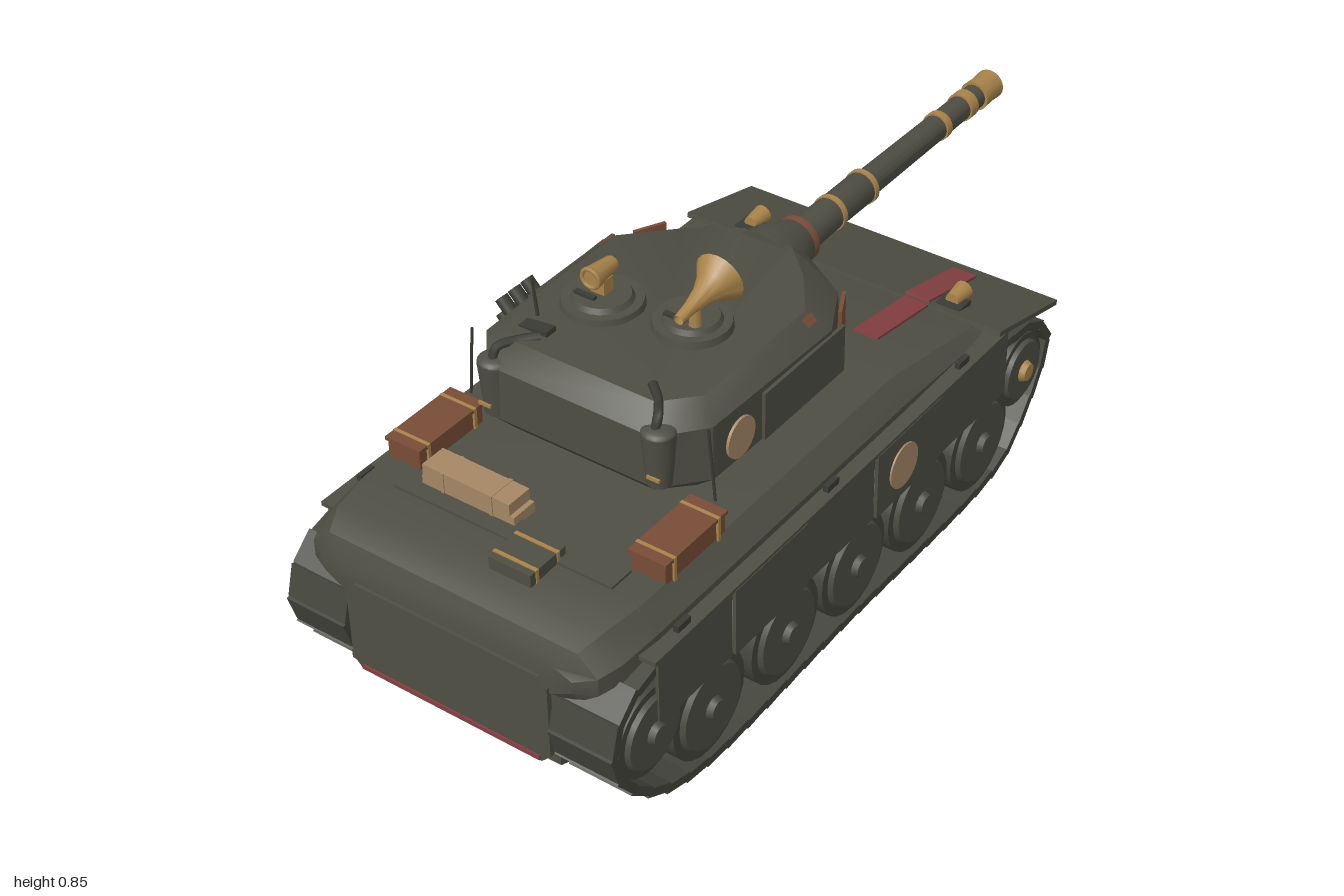
import * as THREE from 'three';
import { toCreasedNormals } from 'three/addons/utils/BufferGeometryUtils.js';

const mat = (name, color, extra = {}) => new THREE.MeshStandardMaterial({ name, color, ...extra });
const M = {
  body: mat('olive armour', 0x4e4e44),
  track: mat('track steel', 0x44453c),
  dark: mat('dark metal', 0x3a3b34),
  brass: mat('brass', 0xa9834a, { side: THREE.DoubleSide }),
  rust: mat('rust brown', 0x784c37),
  tan: mat('tan canvas', 0xa58765),
  red: mat('faded red', 0x843f42),
};

export function createModel() {
  const root = new THREE.Group();
  root.name = 'tank';

  const add = (name, geo, m, pos = [0, 0, 0], rot = [0, 0, 0], parent = root) => {
    const mesh = new THREE.Mesh(geo, m);
    mesh.name = name;
    mesh.position.set(...pos);
    mesh.rotation.set(...rot);
    parent.add(mesh);
    return mesh;
  };
  const box = (name, size, m, pos, rot, parent) => add(name, new THREE.BoxGeometry(...size), m, pos, rot, parent);
  const cyl = (name, r1, r2, h, m, pos, rot, seg = 20, parent = root) =>
    add(name, new THREE.CylinderGeometry(r1, r2, h, seg), m, pos, rot, parent);
  const tube = (name, pts, r, m) => add(name, new THREE.TubeGeometry(
    new THREE.CatmullRomCurve3(pts.map(p => new THREE.Vector3(...p))), 10, r, 7), m);
  // Profile of [radius, distance] spun around an axis pointing to -z
  const spin = (name, pts, m, pos, seg = 20) => add(name, toCreasedNormals(
    new THREE.LatheGeometry(pts.map(p => new THREE.Vector2(...p)), seg), 0.6), m, pos, [-Math.PI / 2, 0, 0]);

  // Skin over matching convex cross-sections, closed at both ends
  const loft = (sections, crease = 0.5) => {
    const v = [], n = sections[0].length;
    const tri = (a, b, c) => v.push(...a, ...b, ...c);
    for (let j = 0; j < sections.length - 1; j++) for (let i = 0; i < n; i++) {
      const k = (i + 1) % n, A = sections[j], B = sections[j + 1];
      tri(A[i], A[k], B[k]);
      tri(A[i], B[k], B[i]);
    }
    const S = sections[0], E = sections[sections.length - 1];
    for (let i = 1; i < n - 1; i++) {
      tri(S[0], S[i + 1], S[i]);
      tri(E[0], E[i], E[i + 1]);
    }
    const g = new THREE.BufferGeometry();
    g.setAttribute('position', new THREE.Float32BufferAttribute(v, 3));
    return toCreasedNormals(g, crease);
  };

  // Lower hull between the tracks
  const side = new THREE.Shape([[0.95, 0.39], [-0.59, 0.35], [-0.615, 0.31], [-0.6, 0.22], [-0.42, 0.095],
    [0.83, 0.095], [0.965, 0.15], [0.965, 0.37]].map(p => new THREE.Vector2(...p)));
  const lower = new THREE.ExtrudeGeometry(side, { depth: 0.52, bevelEnabled: false });
  lower.rotateY(-Math.PI / 2).translate(0.26, 0, 0);
  add('lowerHull', lower, M.body);

  // Upper hull: z, top half width, side half width, top, shoulder and bottom heights
  add('upperHull', loft([
    [-0.6, 0.34, 0.36, 0.365, 0.355, 0.345],
    [-0.37, 0.345, 0.37, 0.42, 0.4, 0.37],
    [-0.05, 0.335, 0.375, 0.468, 0.42, 0.36],
    [0.8, 0.335, 0.375, 0.468, 0.42, 0.34],
    [0.9, 0.32, 0.365, 0.462, 0.41, 0.325],
    [0.95, 0.3, 0.345, 0.44, 0.4, 0.32],
    [0.97, 0.26, 0.3, 0.4, 0.385, 0.33],
  ].map(([z, t, w, yt, ym, yb]) => [[w - 0.05, yb, z], [w, yb + 0.04 * (ym - yb) / 0.08, z], [w, ym, z], [t, yt, z],
    [-t, yt, z], [-w, ym, z], [-w, yb + 0.04 * (ym - yb) / 0.08, z], [-w + 0.05, yb, z]])), M.body);

  // Rear octagonal plate
  const octagon = (w, y0, y1, c) => new THREE.Shape([[w - c, y0], [w, y0 + c], [w, y1 - c], [w - c, y1], [c - w, y1],
    [-w, y1 - c], [-w, y0 + c], [c - w, y0]].map(p => new THREE.Vector2(...p)));
  add('rearPlate', new THREE.ExtrudeGeometry(octagon(0.245, 0.15, 0.365, 0.022),
    { depth: 0.015, bevelEnabled: false }), M.body, [0, 0, 0.962]);
  box('engineDeckPlate', [0.53, 0.008, 0.06], M.body, [0, 0.47, 0.77]);
  box('frontFenderPlate', [0.82, 0.012, 0.26], M.body, [0, 0.392, -0.495], [-0.235, 0, 0]);

  // Track path as [z, y]
  const loop = new THREE.CatmullRomCurve3([[0.72, 0.017], [0.2, 0.015], [-0.38, 0.017], [-0.47, 0.05], [-0.59, 0.19],
    [-0.61, 0.27], [-0.55, 0.335], [-0.4, 0.36], [0.2, 0.37], [0.82, 0.375], [0.93, 0.34], [0.972, 0.26],
    [0.955, 0.18], [0.86, 0.075]].map(([z, y]) => new THREE.Vector3(0, y, z)), true, 'centripetal');
  const LINKS = 52, pitch = loop.getLength() / LINKS;

  for (const s of [1, -1]) {
    const tag = s > 0 ? 'left' : 'right';
    const track = new THREE.Group();
    track.name = tag + 'Track';
    root.add(track);
    for (let i = 0; i < LINKS; i++) {
      const p = loop.getPointAt(i / LINKS), t = loop.getTangentAt(i / LINKS);
      box('trackLink', [0.148, 0.02, pitch * 1.06], M.track, [s * 0.325, p.y, p.z],
        [Math.atan2(-t.y, t.z) + 0.07, 0, 0], track);
    }
    // Road wheels, then rear and front end wheels
    const wheels = [0.67, 0.41, 0.16, -0.09, -0.34].map(z => [z, 0.145, 0.118, M.body]);
    wheels.push([0.855, 0.225, 0.1, M.body], [-0.51, 0.238, 0.088, M.brass]);
    for (const [z, y, r, hub] of wheels) {
      const lay = [0, 0, -s * Math.PI / 2];
      cyl('wheelTyre', r, r, 0.13, M.track, [s * 0.325, y, z], lay, 24, track);
      cyl('wheelDisc', r * 0.78, r * 0.84, 0.012, M.body, [s * 0.394, y, z], lay, 24, track);
      cyl('wheelHub', 0.02, 0.028, 0.018, hub, [s * 0.404, y, z], lay, 12, track);
    }
    // Skirt panels over the track
    const cuts = [0.85, 0.61, 0.36, 0.11, -0.14, -0.42];
    for (let i = 0; i < 5; i++) {
      const a = cuts[i], b = cuts[i + 1];
      box('skirtPanel', [0.008, 0.16, a - b - 0.006], M.body,
        [s * (0.4 + (i % 2) * 0.005), 0.318, (a + b) / 2], [0, 0, 0]);
    }
    box('fenderShelf', [0.055, 0.01, 1.27], M.body, [s * 0.38, 0.4, 0.225]);
    for (const z of [0.75, 0.25, -0.25]) box('shelfBlock', [0.012, 0.016, 0.04], M.dark, [s * 0.388, 0.412, z]);
    cyl('skirtDisc', 0.052, 0.052, 0.006, M.tan, [s * 0.41, 0.315, 0.01], [0, 0, Math.PI / 2], 24);

    // Glacis stripes, lamps and towing rings
    box('glacisStripe', [0.06, 0.006, 0.21], M.red, [s * 0.2, 0.409, -0.475], [-0.235, 0, 0]);
    box('glacisStripe', [0.06, 0.006, 0.21], M.red, [s * 0.2, 0.44, -0.27], [-0.15, 0, 0]);
    box('lampMount', [0.06, 0.03, 0.05], M.dark, [s * 0.265, 0.41, -0.415]);
    cyl('lamp', 0.022, 0.016, 0.05, M.brass, [s * 0.265, 0.43, -0.435], [-Math.PI / 2, 0, 0], 14);
    add('towRing', new THREE.TorusGeometry(0.03, 0.007, 8, 16), M.brass, [s * 0.2, 0.27, -0.62], [0.1, 0, 0]);
    box('towLug', [0.07, 0.025, 0.03], M.dark, [s * 0.2, 0.31, -0.622]);

    // Rear crates with lids and straps
    box('crate', [0.08, 0.05, 0.19], M.rust, [s * 0.297, 0.485, 0.635]);
    box('crateLid', [0.088, 0.008, 0.198], M.rust, [s * 0.297, 0.512, 0.635]);
    for (const z of [0.565, 0.705]) box('crateStrap', [0.09, 0.056, 0.008], M.brass, [s * 0.297, 0.489, z]);

    // Turret side fittings
    box('turretSidePlate', [0.008, 0.11, 0.28], M.body, [s * 0.287, 0.592, 0.2]);
    box('cheekPatch', [0.008, 0.105, 0.075], M.rust, [s * 0.241, 0.595, -0.005], [0, s * 0.464, 0]);
    cyl('sideRod', 0.003, 0.003, 0.165, M.dark, [s * 0.293, 0.592, 0.52], [0, 0, s * 0.09], 6);
    box('roofEdgeClip', [0.02, 0.008, 0.03], M.rust, [s * 0.25, 0.682, 0.13], [0, 0, -s * 0.8]);
    const pod = cyl('rearPod', 0.036, 0.026, 0.12, M.body, [s * 0.198, 0.595, 0.558], [0, 0, 0], 16);
    add('podCap', new THREE.SphereGeometry(0.036, 16, 6, 0, Math.PI * 2, 0, Math.PI / 2), M.body, [0, 0.06, 0], [0, 0, 0], pod)
      .scale.y = 0.4;
    box('podBand', [0.03, 0.007, 0.005], M.brass, [s * 0.205, 0.563, 0.588]);
    tube('podPipe', [[s * 0.195, 0.65, 0.57], [s * 0.195, 0.685, 0.555], [s * 0.17, 0.692, 0.52], [s * 0.135, 0.698, 0.49]],
      0.01, M.dark);
  }

  // Turret: half outlines [x, z] from rear to front at rising heights
  cyl('turretRing', 0.22, 0.23, 0.04, M.dark, [0, 0.48, 0.25], [0, 0, 0], 28);
  const rings = [
    [0.49, [[0.17, 0.54], [0.23, 0.48], [0.24, 0.08], [0.18, -0.02], [0.07, -0.1]]],
    [0.53, [[0.2, 0.575], [0.275, 0.49], [0.285, 0.1], [0.21, -0.05], [0.08, -0.145]]],
    [0.655, [[0.2, 0.58], [0.275, 0.49], [0.285, 0.1], [0.205, -0.045], [0.075, -0.135]]],
    [0.695, [[0.17, 0.53], [0.235, 0.46], [0.235, 0.12], [0.15, 0], [0.06, -0.09]]],
  ].map(([y, half]) => {
    const lift = z => y - (y > 0.6 ? Math.max(0, 0.1 - z) * 0.15 : 0);
    const right = half.map(([x, z]) => [x, lift(z), z]);
    return [...right, ...right.map(([x, h, z]) => [-x, h, z]).reverse()];
  });
  add('turret', loft(rings, 0.6), M.body);
  cyl('turretDisc', 0.045, 0.045, 0.006, M.tan, [0.286, 0.59, 0.415], [0, 0, Math.PI / 2], 24);

  // Gun pointing to -z
  const G = [0, 0.6, 0];
  spin('mantlet', [[0, 0.06], [0.085, 0.07], [0.078, 0.12], [0.06, 0.17], [0.05, 0.2], [0, 0.2]], M.body, G);
  spin('mantletCollar', [[0.045, 0.165], [0.056, 0.165], [0.056, 0.18], [0.05, 0.185], [0.053, 0.19], [0.053, 0.21],
    [0.04, 0.21]], M.rust, G);
  spin('gunBarrel', [[0.042, 0.18], [0.038, 0.3], [0.038, 0.46], [0.032, 0.47], [0.029, 0.94]], M.body, G);
  for (const [z, r, w] of [[0.33, 0.041, 0.014], [0.455, 0.041, 0.014], [0.77, 0.034, 0.02], [0.88, 0.034, 0.03]])
    spin('barrelBand', [[r - 0.01, z - w / 2], [r, z - w / 2], [r, z + w / 2], [r - 0.01, z + w / 2]], M.brass, G);
  spin('muzzle', [[0.025, 0.93], [0.036, 0.93], [0.034, 0.965], [0.036, 1], [0.022, 1], [0.02, 0.95]], M.brass, G);
  cyl('bore', 0.021, 0.021, 0.01, M.dark, [0, 0.6, -0.95], [Math.PI / 2, 0, 0], 16);

  // Roof hatches
  for (const [x, z, r] of [[0.08, 0.285, 0.08], [-0.11, 0.325, 0.084]]) {
    cyl('hatchRing', r, r + 0.003, 0.016, M.body, [x, 0.7, z], [0, 0, 0], 24);
    cyl('hatchLid', r * 0.7, r * 0.78, 0.012, M.body, [x, 0.713, z], [0, 0, 0], 24);
    box('hatchHandle', [0.05, 0.007, 0.012], M.dark, [x - 0.02, 0.722, z + 0.03]);
  }
  box('roofPeriscope', [0.07, 0.016, 0.03], M.dark, [-0.16, 0.694, 0.47], [0, 0, 0.12]);
  cyl('aerial', 0.003, 0.004, 0.085, M.dark, [-0.188, 0.742, 0.44], [0, 0, 0.12], 6);

  // Horn on a post, opening toward -z
  cyl('hornPost', 0.011, 0.014, 0.06, M.brass, [0.105, 0.74, 0.31], [0, 0, 0], 10);
  spin('horn', [[0.011, -0.07], [0.014, -0.03], [0.022, 0.01], [0.035, 0.04], [0.056, 0.07]], M.brass, [0.11, 0.778, 0.303], 18)
    .rotation.x += 0.17;
  // Small sight
  box('sightPost', [0.034, 0.035, 0.03], M.brass, [-0.115, 0.735, 0.32]);
  cyl('sightBody', 0.017, 0.025, 0.07, M.brass, [-0.115, 0.765, 0.32], [-Math.PI / 2, 0, 0], 8);
  add('sightRing', new THREE.TorusGeometry(0.021, 0.005, 6, 12), M.brass, [-0.115, 0.766, 0.355]);

  // Smoke launchers on the right turret wall
  box('launcherMount', [0.02, 0.06, 0.13], M.dark, [-0.29, 0.6, 0.34]);
  for (let i = 0; i < 3; i++) for (const y of [0.592, 0.628])
    cyl('smokeTube', 0.015, 0.015, 0.065, M.dark, [-0.305, y, 0.3 + i * 0.04], [0, 0, 0.75], 10);

  // Rear deck stowage
  for (const [y, w, x] of [[0.48, 0.228, -0.108], [0.507, 0.215, -0.112]])
    box('canvasBundle', [w, 0.027, 0.062], M.tan, [x, y, 0.733], [0, 0, -0.01]);
  for (const x of [-0.17, -0.05]) box('bundleStrap', [0.008, 0.056, 0.066], M.tan, [x, 0.493, 0.733]);
  box('toolBox', [0.1, 0.045, 0.105], M.body, [0.086, 0.47, 0.825]);
  for (const z of [0.795, 0.858]) box('toolBoxStrap', [0.104, 0.048, 0.008], M.brass, [0.086, 0.471, z]);
  box('rearStripe', [0.44, 0.01, 0.006], M.red, [0, 0.158, 0.978]);

  return root;
}
